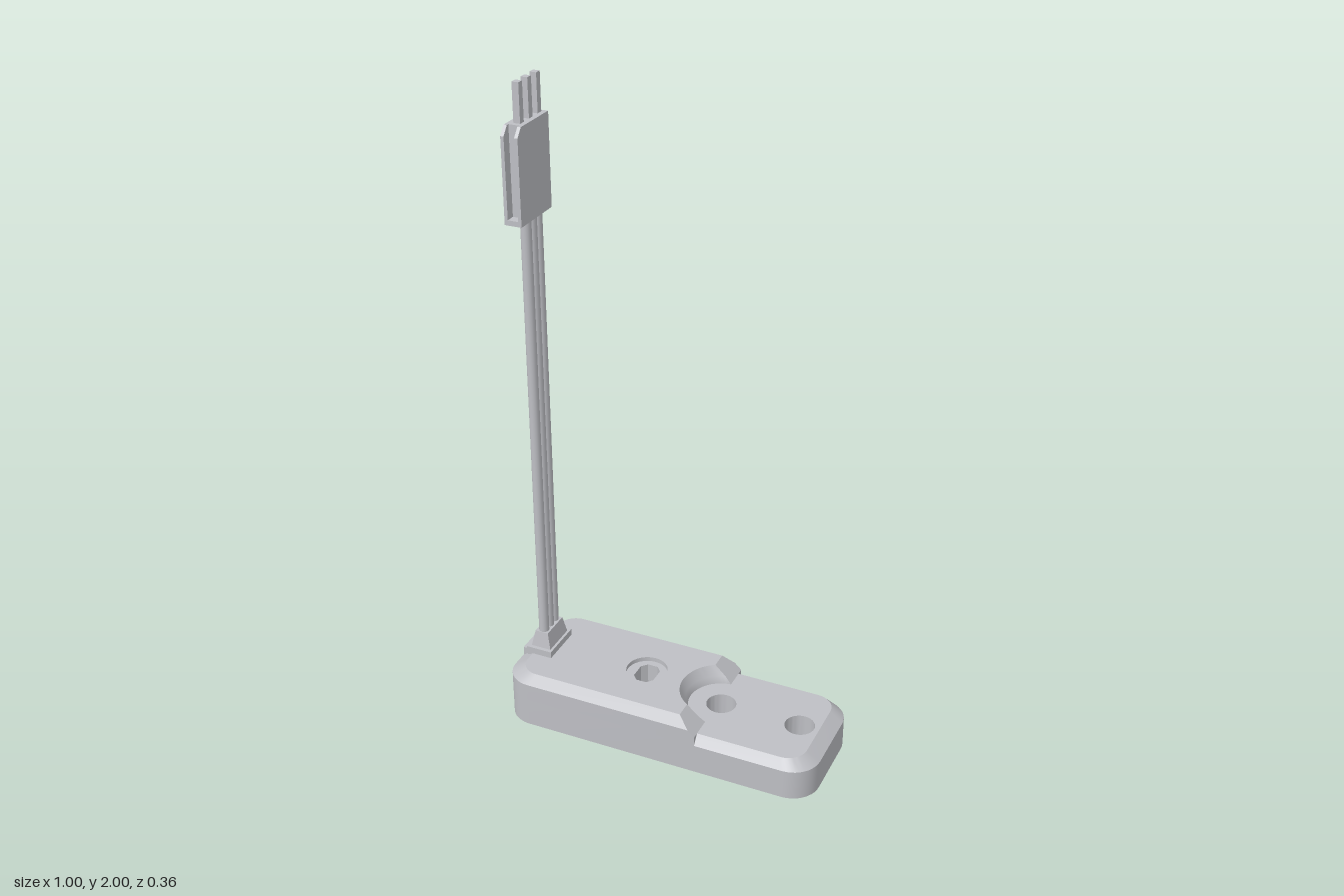
import * as THREE from 'three';
import { toCreasedNormals, mergeGeometries } from 'three/addons/utils/BufferGeometryUtils.js';

// Outlines are [x, v] points, counter-clockwise seen from above, with v = -z.
const arc = (cx, cy, r, a0, a1, n) => Array.from({ length: n + 1 }, (_, i) => {
  const a = a0 + (a1 - a0) * i / n;
  return [cx + r * Math.cos(a), cy + r * Math.sin(a)];
});
const circle = (cx, r, n = 40) => arc(cx, 0, r, 0, Math.PI * 2, n).slice(0, n);
const Q = Math.PI / 2;

function roundRect(x0, x1, w, r) {
  return [
    ...arc(x1 - r, w - r, r, 0, Q, 10), ...arc(x0 + r, w - r, r, Q, 2 * Q, 10),
    ...arc(x0 + r, r - w, r, 2 * Q, 3 * Q, 10), ...arc(x1 - r, r - w, r, 3 * Q, 4 * Q, 10),
  ];
}

// Raised half: rounded on the left, with a scooped step on the right
function raisedOutline(x0, w, r, step, scoop) {
  const a = Math.acos((step - 0.145) / scoop);
  return [
    [step, w], ...arc(x0 + r, w - r, r, Q, 2 * Q, 10), ...arc(x0 + r, r - w, r, 2 * Q, 3 * Q, 10),
    [step, -w], ...arc(0.145, 0, scoop, 2 * Math.PI - a, a, 24),
  ];
}

// Walls through a list of [y, outline] levels
function walls(levels, inward = false) {
  const pos = [];
  for (let k = 0; k + 1 < levels.length; k++) {
    const [y0, a] = levels[k], [y1, b] = levels[k + 1];
    a.forEach((p, i) => {
      const j = (i + 1) % a.length;
      const A = [p[0], y0, -p[1]], B = [a[j][0], y0, -a[j][1]];
      const C = [b[j][0], y1, -b[j][1]], D = [b[i][0], y1, -b[i][1]];
      pos.push(...(inward ? [A, C, B, A, D, C] : [A, B, C, A, C, D]).flat());
    });
  }
  const g = new THREE.BufferGeometry();
  g.setAttribute('position', new THREE.Float32BufferAttribute(pos, 3));
  return toCreasedNormals(g, 0.5);
}

// Flat cap with holes, facing up or down (outlines are symmetric in z)
function cap(y, outline, holes = [], down = false) {
  const v = pts => pts.map(p => new THREE.Vector2(p[0], p[1]));
  const s = new THREE.Shape(v(outline));
  holes.forEach(h => s.holes.push(new THREE.Path(v(h))));
  const g = new THREE.ShapeGeometry(s).toNonIndexed();
  g.deleteAttribute('uv');
  return g.rotateX(down ? Q : -Q).translate(0, y, 0);
}

export function createModel() {
  const gray = new THREE.MeshStandardMaterial({ color: 0xbebfc4 });
  gray.name = 'light gray';
  const model = new THREE.Group();
  const add = (name, geo, x = 0, y = 0, z = 0) => {
    const m = new THREE.Mesh(geo, gray);
    m.name = name;
    m.position.set(x, y, z);
    model.add(m);
    return m;
  };
  const box = (name, x0, x1, y0, y1, z0, z1) => add(name,
    new THREE.BoxGeometry(x1 - x0, y1 - y0, z1 - z0), (x0 + x1) / 2, (y0 + y1) / 2, (z0 + z1) / 2);

  const screwX = [0.145, 0.395];
  const screwHoles = screwX.map(x => circle(x, 0.045));
  const dial = circle(-0.1, 0.063);
  const shaft = [[-0.068, -0.024], [-0.068, 0.024], [-0.084, 0.042], [-0.116, 0.042],
    [-0.132, 0.024], [-0.132, -0.024], [-0.116, -0.042], [-0.084, -0.042]];
  const cavity = [[0.46, -0.1], [0.46, 0.1], [0.42, 0.145], [0.13, 0.145], [0.1, 0.09], [0.05, 0.06],
    [0.05, -0.06], [0.1, -0.09], [0.13, -0.145], [0.42, -0.145]];

  // Low housing with hollow underside
  const full = roundRect(-0.5, 0.495, 0.181, 0.085);
  const deck = roundRect(-0.455, 0.455, 0.159, 0.06);
  add('housing', mergeGeometries([
    walls([[0.03, full], [0.125, full], [0.155, deck]]),
    cap(0.155, deck, [dial, ...screwHoles]),
    cap(0.03, full, [dial, cavity], true),
    walls([[0.03, cavity], [0.115, cavity]], true),
    cap(0.115, cavity, screwHoles, true),
  ]));

  // Raised half with chamfered rim and scooped step
  const top = raisedOutline(-0.455, 0.159, 0.06, 0.08, 0.125);
  add('raisedHousing', mergeGeometries([
    walls([
      [0.12, raisedOutline(-0.5, 0.181, 0.085, 0.135, 0.1)],
      [0.155, raisedOutline(-0.5, 0.181, 0.085, 0.135, 0.1)],
      [0.175, raisedOutline(-0.5, 0.181, 0.085, 0.114, 0.11)],
      [0.207, top],
    ]),
    cap(0.207, top, [dial]),
  ]));

  // Shaft hole, recessed on both faces
  add('shaftHole', mergeGeometries([
    walls([[0.193, dial], [0.207, dial]], true),
    cap(0.193, dial, [shaft]),
    walls([[0.042, shaft], [0.193, shaft]], true),
    cap(0.042, dial, [shaft], true),
    walls([[0.03, dial], [0.042, dial]], true),
  ]));

  // Screw bosses with small feet
  screwX.forEach((x, i) => {
    const outer = circle(x, 0.06);
    add('screwBoss', mergeGeometries([
      walls([[0.03, outer], [0.115, outer]]),
      walls([[0.03, screwHoles[i]], [0.155, screwHoles[i]]], true),
      cap(0.03, outer, [screwHoles[i]], true),
    ]));
    for (const s of [-1, 1]) {
      box('bossFoot', x + s * 0.052 - 0.007, x + s * 0.052 + 0.007, 0.02, 0.031, -0.014, 0.014);
      box('cavityRib', x - 0.005, x + 0.005, 0.06, 0.116, s > 0 ? 0.057 : -0.146, s > 0 ? 0.146 : -0.057);
    }
  });
  box('cavityRib', 0.2, 0.34, 0.06, 0.116, -0.006, 0.006);

  // Locating peg under the housing
  add('locatingPeg', new THREE.CylinderGeometry(0.044, 0.042, 0.032, 32), -0.348, 0.016, 0);

  // Cable outlet: tab, flange and tapered strain relief
  box('outletTab', -0.498, -0.46, 0.165, 0.205, -0.048, 0.048);
  box('reliefFlange', -0.474, -0.392, 0.2, 0.228, -0.068, 0.068);
  const rect = (hx, hz) => [[-0.432 + hx, -hz], [-0.432 + hx, hz], [-0.432 - hx, hz], [-0.432 - hx, -hz]];
  add('strainRelief', mergeGeometries([
    walls([[0.228, rect(0.032, 0.056)], [0.28, rect(0.021, 0.048)]]),
    cap(0.28, rect(0.021, 0.048)),
  ]));

  // Three wires and matching square pins
  for (const k of [-1, 0, 1]) {
    add('wire', new THREE.CylinderGeometry(0.0155, 0.0155, 1.36, 16), -0.432, 0.95, k * 0.031);
    box('pin', -0.44, -0.42, 1.88, 2, k * 0.048 - 0.01, k * 0.048 + 0.01);
  }

  // Plug body with a channel between two chamfered keys
  box('plugBody', -0.457, -0.406, 1.62, 1.89, -0.07, 0.072);
  const key = new THREE.Shape([[0.07, 1.62], [0.1, 1.62], [0.1, 1.865], [0.08, 1.89], [0.07, 1.89]]
    .map(p => new THREE.Vector2(-p[0], p[1])));
  for (const x of [-0.457, -0.416]) {
    const g = new THREE.ExtrudeGeometry(key, { depth: 0.01, bevelEnabled: false });
    add('plugKey', g.rotateY(Q), x);
  }
  box('plugKeyBase', -0.45, -0.41, 1.62, 1.635, 0.07, 0.1);

  return model;
}
